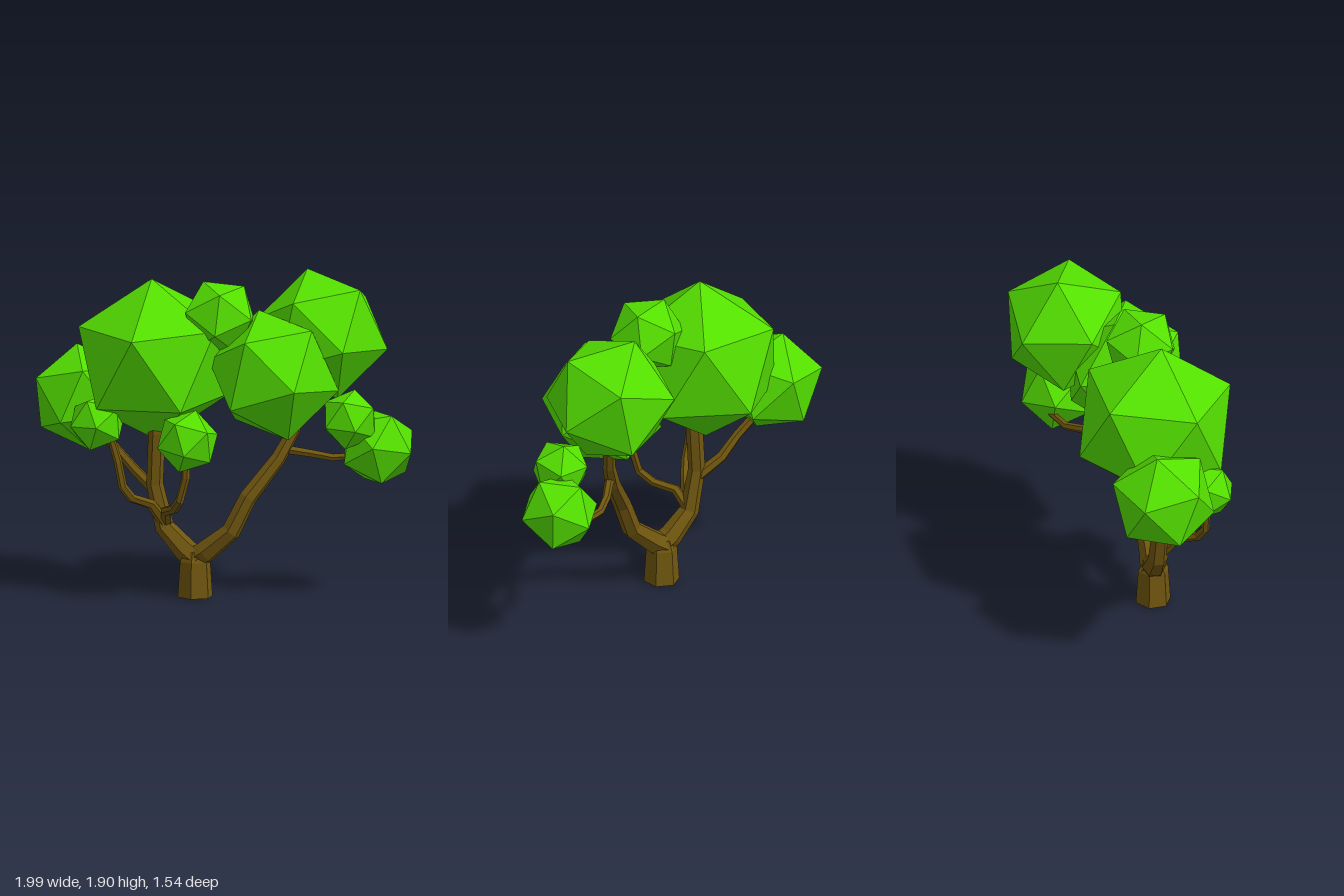
import * as THREE from 'three';

const bark = new THREE.MeshStandardMaterial({ color: 0x70560f, flatShading: true });
const leaf = new THREE.MeshStandardMaterial({ color: 0x54e000, flatShading: true });
const vec = (a) => new THREE.Vector3(...a);

// Rotation frame whose y axis is `a`, with `b` in the xy plane
function frame(a, b) {
  const y = a.clone().normalize();
  const x = b.clone().addScaledVector(y, -b.dot(y)).normalize();
  return new THREE.Matrix4().makeBasis(x, y, x.clone().cross(y));
}

// Icosahedron turned so that one corner points along `apex` and a neighbouring one towards `side`
const PHI = (1 + Math.sqrt(5)) / 2;
const homeInverse = frame(vec([-1, PHI, 0]), vec([1, PHI, 0])).transpose();
function foliage(name, centre, radius, apex, side) {
  const geo = new THREE.IcosahedronGeometry(radius, 0);
  geo.applyMatrix4(frame(vec(apex), vec(side)).multiply(homeInverse));
  const mesh = new THREE.Mesh(geo, leaf);
  mesh.name = name;
  mesh.position.set(...centre);
  return mesh;
}

// Faceted tapering limb through points [x, y, z, radius], closed at both ends
function limb(name, path, sides = 6) {
  const pts = path.map((p) => vec(p.slice(0, 3)));
  const last = pts.length - 1;
  const pos = [], index = [];
  let normal = new THREE.Vector3(1, 0, 0);
  pts.forEach((p, i) => {
    const t = new THREE.Vector3();
    if (i > 0) t.add(p.clone().sub(pts[i - 1]).normalize());
    if (i < last) t.add(pts[i + 1].clone().sub(p).normalize());
    t.normalize();
    normal = normal.clone().addScaledVector(t, -normal.dot(t)).normalize();
    const binormal = t.clone().cross(normal);
    for (let j = 0; j < sides; j++) {
      const a = (j / sides) * Math.PI * 2;
      const v = p.clone()
        .addScaledVector(normal, Math.cos(a) * path[i][3])
        .addScaledVector(binormal, Math.sin(a) * path[i][3]);
      pos.push(v.x, v.y, v.z);
    }
  });
  for (let i = 0; i < last; i++) {
    for (let j = 0; j < sides; j++) {
      const a = i * sides + j, b = i * sides + (j + 1) % sides;
      index.push(a, b, b + sides, a, b + sides, a + sides);
    }
  }
  const top = last * sides;
  for (let j = 1; j < sides - 1; j++) index.push(0, j + 1, j, top, top + j, top + j + 1);
  const geo = new THREE.BufferGeometry();
  geo.setAttribute('position', new THREE.Float32BufferAttribute(pos, 3));
  geo.setIndex(index);
  geo.computeVertexNormals();
  const mesh = new THREE.Mesh(geo, bark);
  mesh.name = name;
  return mesh;
}

export function createModel() {
  const tree = new THREE.Group();
  tree.name = 'tree';

  // Trunk and the two main boughs
  tree.add(
    limb('trunk', [[0, 0, 0.195, 0.106], [0, 0.21, 0.195, 0.092], [0, 0.27, 0.195, 0.065]]),
    limb('rightBough', [
      [0.03, 0.21, 0.19, 0.075], [-0.06, 0.27, 0.215, 0.07], [-0.18, 0.4, 0.265, 0.058],
      [-0.23, 0.65, 0.295, 0.05], [-0.215, 0.95, 0.295, 0.05], [-0.24, 1.25, 0.28, 0.04],
    ]),
    limb('leftBough', [
      [-0.03, 0.21, 0.2, 0.075], [0.06, 0.27, 0.17, 0.07], [0.2, 0.4, 0.1, 0.058],
      [0.27, 0.6, 0.03, 0.053], [0.36, 0.82, -0.13, 0.045], [0.4, 0.98, -0.22, 0.038],
      [0.42, 1.25, -0.32, 0.03],
    ]),
  );

  // Thin side branches
  tree.add(
    limb('outerRightBranch', [
      [-0.22, 0.6, 0.28, 0.035], [-0.38, 0.71, 0.3, 0.032], [-0.48, 0.82, 0.34, 0.028],
      [-0.64, 0.97, 0.38, 0.025],
    ]),
    limb('frontRightBranch', [
      [-0.17, 0.43, 0.28, 0.035], [-0.18, 0.55, 0.38, 0.03], [-0.21, 0.6, 0.51, 0.028],
      [-0.235, 0.67, 0.56, 0.027], [-0.26, 0.82, 0.575, 0.025], [-0.31, 0.98, 0.59, 0.023],
    ]),
    limb('middleBranch', [
      [-0.17, 0.42, 0.26, 0.035], [-0.11, 0.51, 0.33, 0.03], [0.01, 0.545, 0.38, 0.027],
      [0.09, 0.61, 0.42, 0.026], [0.13, 0.75, 0.41, 0.025], [0.13, 0.92, 0.4, 0.022],
    ]),
    limb('outerLeftBranch', [
      [0.36, 0.88, -0.14, 0.03], [0.4, 0.865, -0.21, 0.027], [0.44, 0.835, -0.33, 0.025],
      [0.5, 0.805, -0.44, 0.024], [0.6, 0.815, -0.55, 0.022], [0.68, 0.87, -0.61, 0.02],
    ]),
  );

  // Foliage: name, centre, radius, corner direction, neighbouring corner direction
  [
    ['largeRightFoliage', [-0.26, 1.382, 0.265], 0.489, [0.01, 0.46, 0.035], [0.41, 0.17, -0.05]],
    ['leftFoliage', [0.385, 1.33, -0.065], 0.393, [0.345, -0.037, 0.185], [0.255, 0.29, -0.055]],
    ['rearLeftFoliage', [0.434, 1.533, -0.425], 0.393, [-0.14, 0.365, -0.02], [0.255, 0.3, -0.045]],
    ['outerRightFoliage', [-0.69, 1.125, 0.415], 0.315, [-0.075, 0.305, -0.02], [-0.3, 0.055, -0.04]],
    ['frontRightFoliage', [-0.4, 1.035, 0.605], 0.172, [-0.06, -0.01, 0.155], [0.14, 0, 0.1]],
    ['middleFoliage', [0.135, 0.968, 0.4], 0.188, [0.02, 0.18, -0.05], [0.16, 0.1, 0]],
    ['topFoliage', [0.105, 1.66, 0.095], 0.23, [-0.105, 0.2, 0.03], [0.085, 0.185, -0.12]],
    ['smallLeftFoliage', [0.72, 1.07, -0.36], 0.178, [-0.01, 0.165, -0.05], [0.16, 0.085, -0.04]],
    ['outerLeftFoliage', [0.765, 0.885, -0.55], 0.235, [0.225, -0.013, -0.035], [0.11, 0.2, 0.01]],
  ].forEach((f) => tree.add(foliage(...f)));

  return tree;
}
